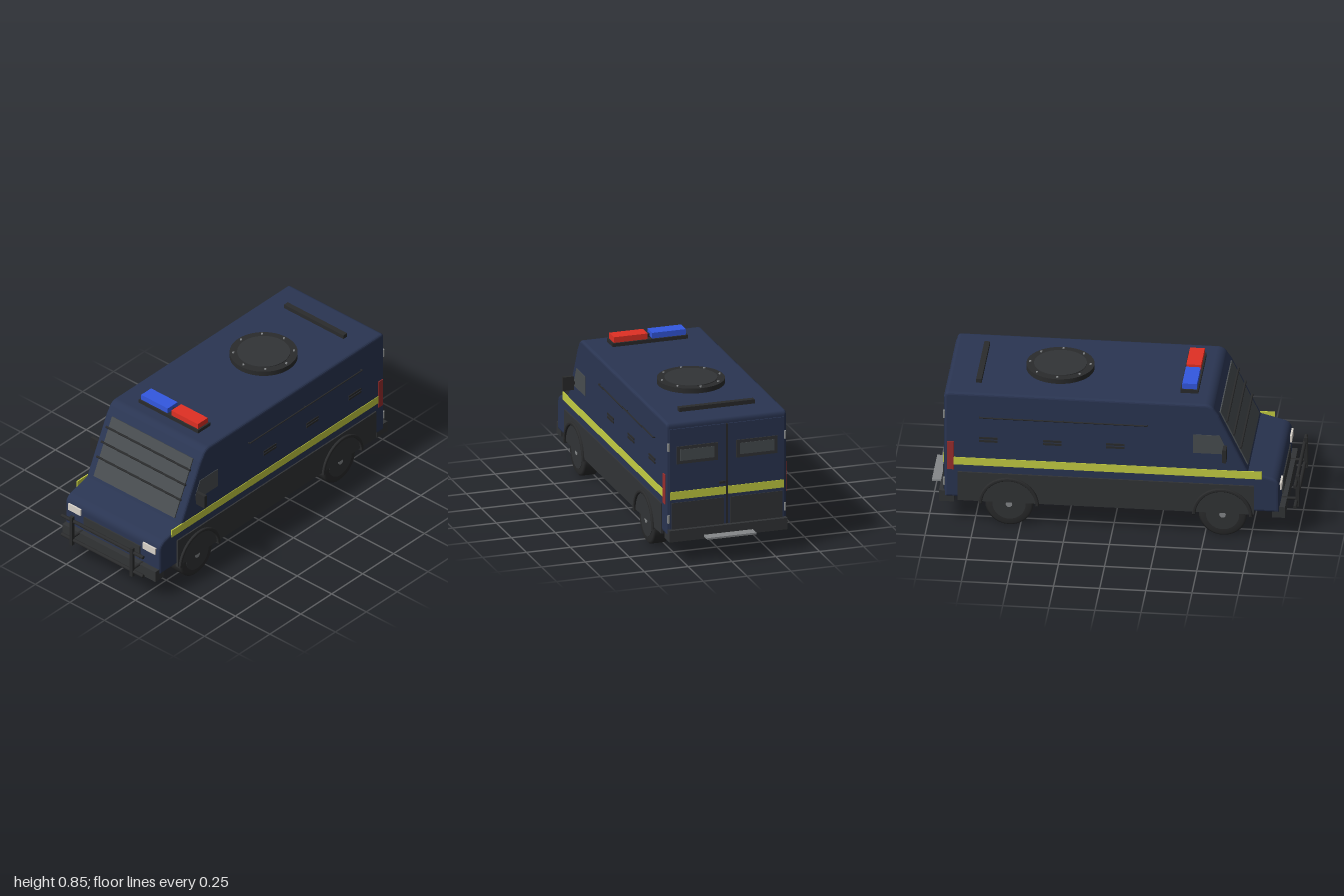
import * as THREE from 'three';

const mat = (color) => new THREE.MeshStandardMaterial({ color });
const navy = mat(0x2a3552), dark = mat(0x323436), black = mat(0x2a2b2c), glass = mat(0x484d50),
  yellow = mat(0xc6cf42), red = mat(0xe03024), blue = mat(0x3358e0), tail = mat(0x9a2e2e),
  lamp = mat(0xd8d2ca), silver = mat(0x85888a);

export function createModel() {
  const root = new THREE.Group();

  const add = (name, geo, material, x = 0, y = 0, z = 0, parent = root) => {
    const m = new THREE.Mesh(geo, material);
    m.name = name;
    m.position.set(x, y, z);
    parent.add(m);
    return m;
  };
  // box given by its ranges
  const box = (name, material, x0, x1, y0, y1, z0, z1, parent) =>
    add(name, new THREE.BoxGeometry(Math.abs(x1 - x0), y1 - y0, z1 - z0), material,
      (x0 + x1) / 2, (y0 + y1) / 2, (z0 + z1) / 2, parent);
  // rod along one axis
  const rod = (name, material, r, len, axis, x, y, z, parent) => {
    const g = new THREE.CylinderGeometry(r, r, len, 12);
    if (axis === 'x') g.rotateZ(Math.PI / 2);
    if (axis === 'z') g.rotateX(Math.PI / 2);
    return add(name, g, material, x, y, z, parent);
  };
  // side outline in (z, y), extruded across x and centred
  const sideExtrude = (shape, width, bevel) => {
    const g = new THREE.ExtrudeGeometry(shape, {
      depth: width - 2 * bevel, bevelEnabled: bevel > 0, bevelSize: bevel, bevelOffset: -bevel,
      bevelThickness: bevel, bevelSegments: 3, curveSegments: 24,
    });
    g.translate(0, 0, -(width - 2 * bevel) / 2);
    return g.rotateY(-Math.PI / 2);
  };

  // Body shell
  const p = new THREE.Shape();
  p.moveTo(-0.91, 0.16);
  p.lineTo(-0.91, 0.77);
  p.quadraticCurveTo(-0.91, 0.797, -0.885, 0.797);
  p.lineTo(0.5, 0.797);
  p.quadraticCurveTo(0.53, 0.797, 0.548, 0.775);
  p.lineTo(0.578, 0.73);
  p.lineTo(0.735, 0.4);
  p.lineTo(0.86, 0.367);
  p.quadraticCurveTo(0.905, 0.355, 0.905, 0.31);
  p.lineTo(0.905, 0.16);
  add('bodyShell', sideExtrude(p, 0.684, 0.014), navy);

  // Windshield with protective bars, built upright and leaned back
  const shield = new THREE.Group();
  shield.name = 'windshield';
  shield.position.set(0, 0.577, 0.652);
  shield.rotation.x = -0.444;
  root.add(shield);
  box('windshieldGlass', glass, -0.293, 0.293, -0.174, 0.174, -0.008, 0.006, shield);
  for (const h of [0.11, 0.023, -0.064])
    rod('windshieldBar', black, 0.006, 0.61, 'x', 0, h, 0.014, shield);

  // Nose: grille, bumper and bull bar
  box('grille', dark, -0.203, 0.203, 0.208, 0.288, 0.89, 0.912);
  box('frontBumper', dark, -0.336, 0.336, 0.127, 0.192, 0.865, 0.935);
  for (const y of [0.296, 0.172]) rod('bullBarRail', black, 0.01, 0.59, 'x', 0, y, 0.985);
  for (const s of [-1, 1]) {
    box('bullBarUpright', black, s * 0.208, s * 0.228, 0.143, 0.327, 0.982, 1);
    rod('bullBarMount', black, 0.008, 0.1, 'z', s * 0.218, 0.187, 0.94);
    box('headlight', lamp, s * 0.225, s * 0.316, 0.285, 0.325, 0.88, 0.914);
  }

  // Roof: light bar, hatch and rear rail
  box('lightBarBase', black, -0.215, 0.215, 0.79, 0.817, 0.355, 0.453);
  box('blueBeacon', blue, -0.205, -0.013, 0.817, 0.849, 0.364, 0.444);
  box('redBeacon', red, 0.013, 0.205, 0.817, 0.849, 0.364, 0.444);
  rod('beaconSpacer', black, 0.012, 0.02, 'y', 0, 0.825, 0.404);
  const hatch = new THREE.Group();
  hatch.name = 'roofHatch';
  hatch.position.set(0, 0.795, -0.317);
  root.add(hatch);
  add('hatchRing', new THREE.CylinderGeometry(0.184, 0.184, 0.03, 48), black, 0, 0.015, 0, hatch);
  add('hatchLid', new THREE.CylinderGeometry(0.143, 0.143, 0.01, 48), dark, 0, 0.029, 0, hatch);
  for (let i = 0; i < 8; i++) {
    const a = i * Math.PI / 4;
    rod('hatchBolt', silver, 0.006, 0.008, 'y', 0.164 * Math.cos(a), 0.032, 0.164 * Math.sin(a), hatch);
  }
  box('roofRail', black, -0.215, 0.215, 0.79, 0.82, -0.752, -0.722);

  // Shared side shapes
  const win = new THREE.Shape();
  win.moveTo(0.437, 0.503);
  win.lineTo(0.618, 0.503);
  win.lineTo(0.618, 0.535);
  win.lineTo(0.582, 0.615);
  win.lineTo(0.437, 0.615);
  const windowGeo = sideExtrude(win, 0.01, 0);
  const arch = new THREE.Shape();
  arch.absarc(0, 0, 0.164, 0, Math.PI, false);
  arch.absarc(0, 0, 0.145, Math.PI, 0, true);
  const archGeo = sideExtrude(arch, 0.04, 0.006);
  const tireGeo = new THREE.LatheGeometry([[0.085, -0.046], [0.118, -0.046], [0.13, -0.036], [0.13, 0.036],
    [0.118, 0.046], [0.085, 0.046]].map(([r, h]) => new THREE.Vector2(r, h)), 40).rotateZ(Math.PI / 2);
  const hubGeo = new THREE.CylinderGeometry(0.09, 0.09, 0.094, 32).rotateZ(Math.PI / 2);

  for (const s of [-1, 1]) {
    // Flank: cladding, stripe, window, mirror, rails
    box('lowerCladding', dark, s * 0.335, s * 0.35, 0.145, 0.318, -0.838, 0.768);
    box('sideStripe', yellow, s * 0.338, s * 0.345, 0.36, 0.405, -0.868, 0.81);
    add('sideWindow', windowGeo, glass, s * 0.34);
    box('mirror', black, s * 0.352, s * 0.412, 0.485, 0.562, 0.603, 0.623);
    box('mirrorArm', black, s * 0.335, s * 0.355, 0.515, 0.532, 0.606, 0.618);
    rod('sideRail', black, 0.004, 0.91, 'z', s * 0.353, 0.657, -0.265);
    for (const z of [0.19, -0.265, -0.72]) rod('sideRailMount', black, 0.003, 0.016, 'x', s * 0.346, 0.657, z);
    for (const z of [0.016, -0.326, -0.672])
      for (const y of [0.529, 0.511]) box('ventSlat', black, s * 0.338, s * 0.346, y - 0.006, y + 0.006, z - 0.05, z + 0.05);
    box('tailLight', tail, s * 0.335, s * 0.347, 0.33, 0.5, -0.895, -0.86);

    // Wheels and arches
    for (const z of [0.597, -0.561]) {
      add('tire', tireGeo, black, s * 0.29, 0.13, z);
      add('hub', hubGeo, dark, s * 0.291, 0.13, z);
      rod('hubCap', silver, 0.018, 0.1, 'x', s * 0.291, 0.13, z);
      add('wheelArch', archGeo, black, s * 0.342, 0.133, z);
    }

    // Rear door leaf
    const d = new THREE.Group();
    d.name = s > 0 ? 'leftRearDoor' : 'rightRearDoor';
    root.add(d);
    box('doorLeaf', navy, s * 0.005, s * 0.325, 0.17, 0.762, -0.916, -0.9, d);
    box('doorWindowFrame', dark, s * 0.053, s * 0.287, 0.562, 0.662, -0.921, -0.91, d);
    box('doorWindow', glass, s * 0.072, s * 0.268, 0.58, 0.644, -0.923, -0.91, d);
    box('doorStripe', yellow, s * 0.006, s * 0.325, 0.36, 0.405, -0.919, -0.91, d);
    box('doorKickPanel', dark, s * 0.018, s * 0.315, 0.18, 0.342, -0.92, -0.91, d);
    for (const y of [0.25, 0.66]) rod('doorHinge', silver, 0.007, 0.045, 'y', s * 0.332, y, -0.913, d);
  }
  box('doorSeam', black, -0.005, 0.005, 0.17, 0.762, -0.918, -0.9);
  box('doorHandle', black, 0.012, 0.045, 0.425, 0.438, -0.927, -0.91);

  // Rear bumper and step
  box('rearBumper', dark, -0.336, 0.336, 0.127, 0.192, -0.942, -0.86);
  box('rearStep', silver, -0.14, 0.14, 0.14, 0.15, -1, -0.9);

  return root;
}
